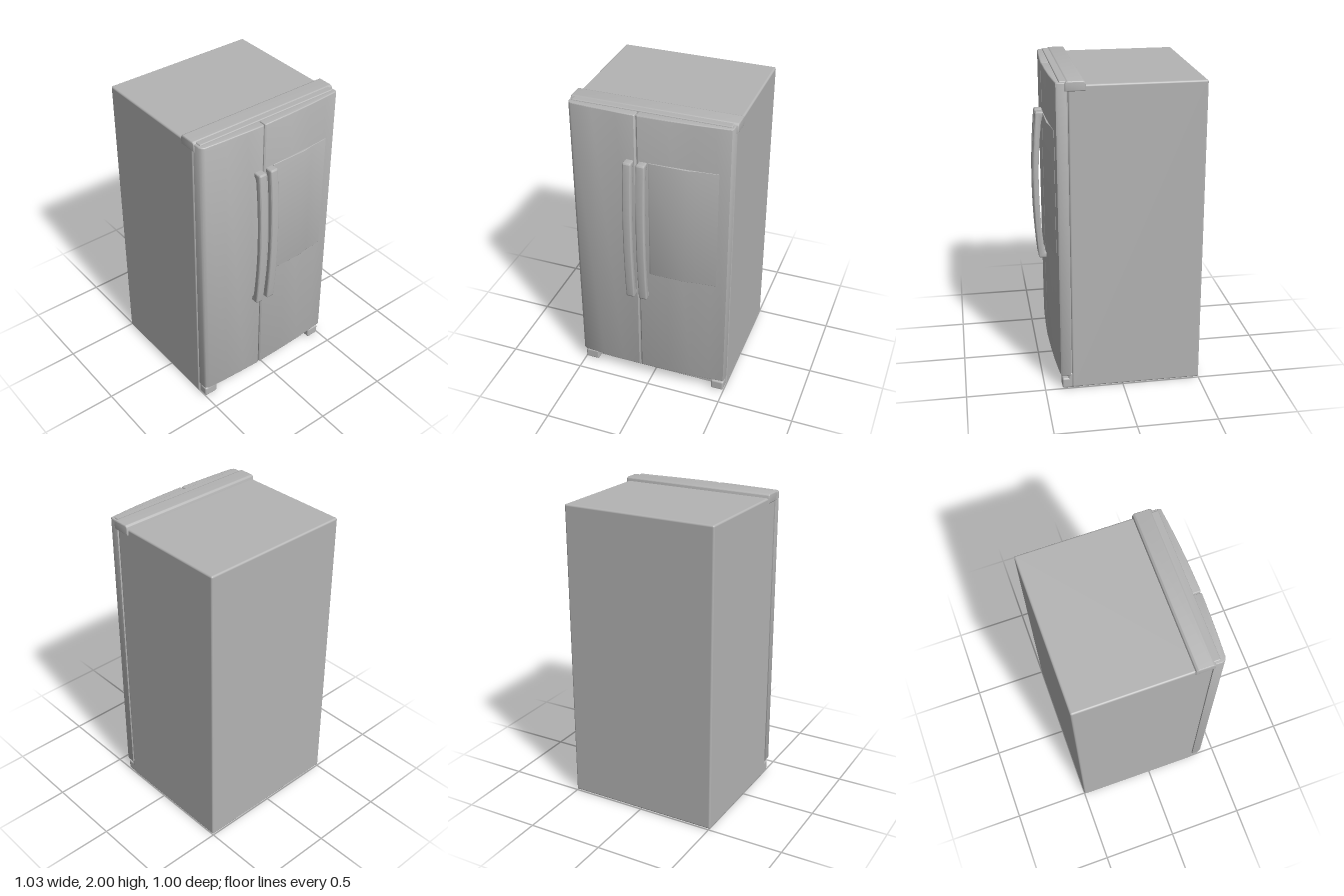
import * as THREE from 'three';
import { toCreasedNormals } from 'three/addons/utils/BufferGeometryUtils.js';
import { RoundedBoxGeometry } from 'three/addons/geometries/RoundedBoxGeometry.js';

export function createModel() {
  const group = new THREE.Group();
  group.name = 'refrigerator';
  const steel = new THREE.MeshStandardMaterial({ name: 'grey steel', color: 0xb4b4b4 });

  function add(name, geometry) {
    const mesh = new THREE.Mesh(geometry, steel);
    mesh.name = name;
    group.add(mesh);
    return mesh;
  }

  // Rounded box given by its limits
  function box(name, [x0, x1], [y0, y1], [z0, z1], radius) {
    const geometry = new RoundedBoxGeometry(x1 - x0, y1 - y0, z1 - z0, 3, radius);
    geometry.translate((x0 + x1) / 2, (y0 + y1) / 2, (z0 + z1) / 2);
    return add(name, geometry);
  }

  // Bevelled extrusion whose total length includes the bevel
  function extrude(shape, length, bevel) {
    const geometry = new THREE.ExtrudeGeometry(shape, {
      depth: length - 2 * bevel, bevelEnabled: bevel > 0, bevelThickness: bevel,
      bevelSize: bevel, bevelOffset: -bevel, bevelSegments: 3, curveSegments: 16,
    });
    geometry.translate(0, 0, bevel);
    return geometry;
  }

  // Upright slab made from a plan outline of [x, z] points
  function slab(name, outline, y0, y1, bevel) {
    const shape = new THREE.Shape(outline.map(([x, z]) => new THREE.Vector2(x, -z)));
    const geometry = extrude(shape, y1 - y0, bevel);
    geometry.rotateX(-Math.PI / 2).translate(0, y0, 0);
    return add(name, toCreasedNormals(geometry, 0.6));
  }

  // Cabinet and the recessed seal behind the doors
  box('cabinet', [-0.51, 0.503], [0.005, 1.975], [-0.5, 0.328], 0.012);
  box('doorSeal', [-0.5, 0.493], [0.1, 1.965], [0.3, 0.36], 0.005);

  // Doors with gently bowed fronts
  slab('rightDoor', [[-0.51, 0.335], [-0.078, 0.335], [-0.078, 0.42], [-0.086, 0.427],
    [-0.2, 0.424], [-0.35, 0.418], [-0.485, 0.41], [-0.502, 0.4], [-0.51, 0.385]], 0.09, 1.99, 0.006);
  slab('leftDoor', [[-0.072, 0.335], [0.503, 0.335], [0.503, 0.385], [0.496, 0.398],
    [0.4, 0.407], [0.28, 0.416], [0.12, 0.423], [-0.064, 0.427], [-0.072, 0.42]], 0.09, 1.99, 0.006);
  box('doorGapFiller', [-0.085, -0.065], [0.1, 1.98], [0.34, 0.412], 0.003);

  // Faint raised panel on the wide door
  slab('doorPanel', [[0, 0.415], [0.43, 0.395], [0.43, 0.406], [0.31, 0.417],
    [0.24, 0.43], [0.01, 0.43], [0, 0.427]], 0.88, 1.69, 0.002);

  // Hinge cover across the top
  const cap = new THREE.Shape();
  cap.moveTo(0.225, 1.94);
  cap.lineTo(0.345, 1.94);
  cap.lineTo(0.345, 1.985);
  cap.quadraticCurveTo(0.34, 2, 0.325, 2);
  cap.lineTo(0.245, 2);
  cap.quadraticCurveTo(0.228, 2, 0.225, 1.98);
  cap.closePath();
  const capGeometry = extrude(cap, 1.03, 0.006);
  capGeometry.rotateY(-Math.PI / 2).translate(0.515, 0, 0);
  add('hingeCover', toCreasedNormals(capGeometry, 0.6));
  box('topTrim', [-0.495, 0.49], [1.97, 1.997], [0.33, 0.378], 0.007);

  // Bowed handles joined to the doors at both ends
  const bow = new THREE.Shape();
  bow.moveTo(0.422, 0.7);
  bow.lineTo(0.465, 0.7);
  bow.quadraticCurveTo(0.475, 0.7, 0.476, 0.715);
  bow.quadraticCurveTo(0.524, 1.195, 0.476, 1.675);
  bow.quadraticCurveTo(0.475, 1.69, 0.465, 1.69);
  bow.lineTo(0.422, 1.69);
  bow.lineTo(0.422, 1.66);
  bow.quadraticCurveTo(0.437, 1.655, 0.441, 1.6);
  bow.quadraticCurveTo(0.485, 1.195, 0.441, 0.79);
  bow.quadraticCurveTo(0.437, 0.735, 0.422, 0.73);
  bow.closePath();
  const handleGeometry = extrude(bow, 0.055, 0.009);
  handleGeometry.rotateY(-Math.PI / 2).translate(0.0275, 0, 0);
  const handle = toCreasedNormals(handleGeometry, 0.7);
  add('rightHandle', handle).position.x = -0.118;
  add('leftHandle', handle).position.x = -0.033;

  // Kick plate and front feet
  box('kickPlate', [-0.41, 0.415], [0.008, 0.085], [0.3, 0.345], 0.006);
  for (const [name, x0, x1] of [['rightFoot', -0.5, -0.405], ['leftFoot', 0.41, 0.497]]) {
    box(name, [x0, x1], [0, 0.07], [0.27, 0.39], 0.012);
    box(name + 'Bracket', [x0, x1], [0.05, 0.105], [0.29, 0.35], 0.01);
  }
  return group;
}
